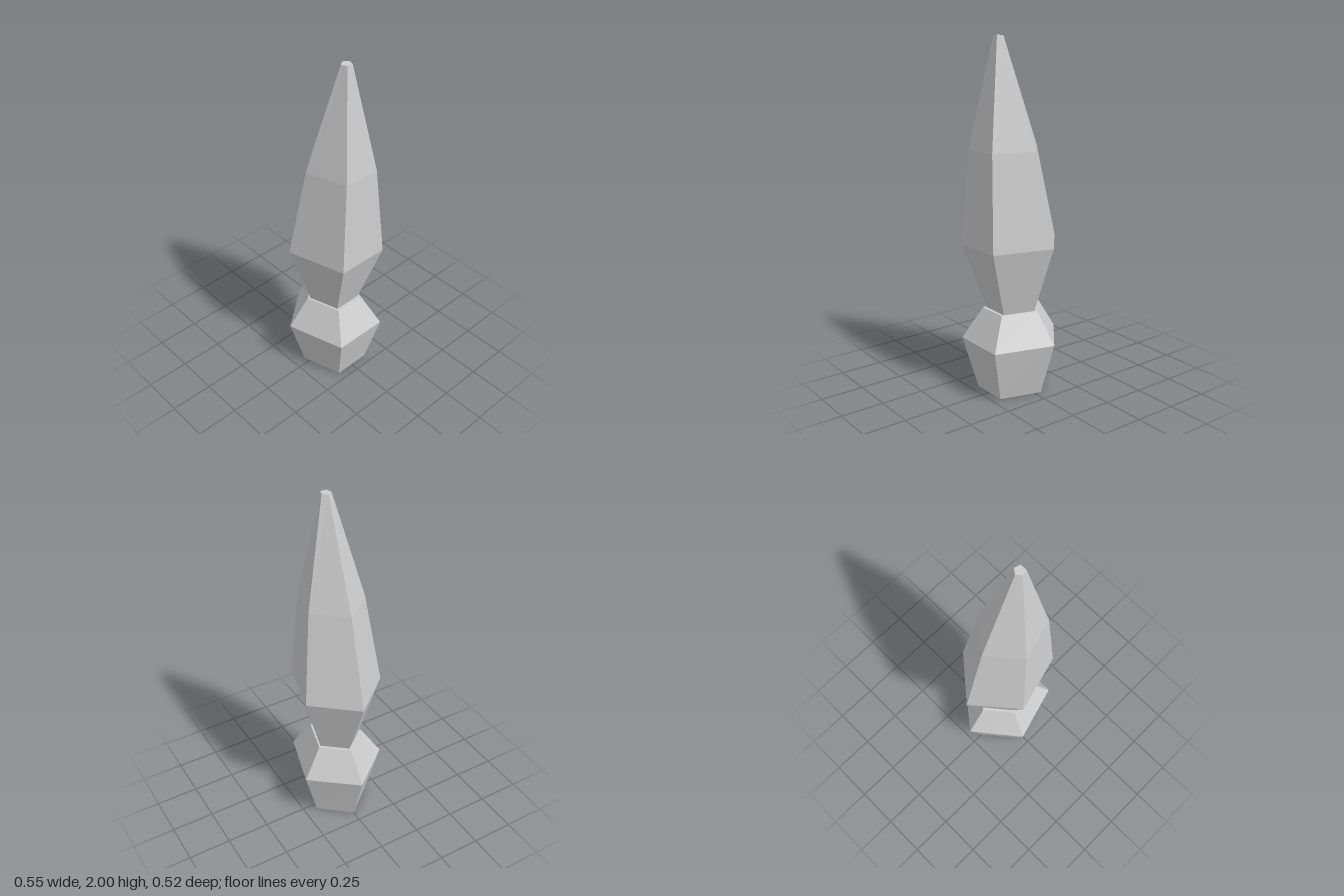
import * as THREE from 'three';

const SIDES = 5;

// Faceted loft through five-sided rings [y, centreX, radiusX, radiusZ], one corner towards -x, closed at both ends
function loft(name, rings) {
  const points = [];
  const index = [];
  for (const [y, cx, rx, rz] of rings) {
    for (let i = 0; i < SIDES; i++) {
      const a = Math.PI + (i / SIDES) * Math.PI * 2;
      points.push(cx + rx * Math.cos(a), y, -rz * Math.sin(a));
    }
  }
  const last = (rings.length - 1) * SIDES;
  for (let row = 0; row < last; row += SIDES) {
    for (let i = 0; i < SIDES; i++) {
      const a = row + i;
      const b = row + ((i + 1) % SIDES);
      index.push(a, b, b + SIDES, a, b + SIDES, a + SIDES);
    }
  }
  for (let i = 1; i < SIDES - 1; i++) {
    index.push(0, i + 1, i); // bottom cap
    index.push(last, last + i, last + i + 1); // top cap
  }
  const indexed = new THREE.BufferGeometry();
  indexed.setAttribute('position', new THREE.Float32BufferAttribute(points, 3));
  indexed.setIndex(index);
  const geometry = indexed.toNonIndexed();
  geometry.computeVertexNormals();
  const material = new THREE.MeshStandardMaterial({ color: 0xcccccc, flatShading: true });
  const mesh = new THREE.Mesh(geometry, material);
  mesh.name = name;
  return mesh;
}

export function createModel() {
  const model = new THREE.Group();
  model.name = 'facetedSpire';

  // Squat base, widest above its middle
  model.add(loft('base', [
    [0, 0.028, 0.213, 0.184],
    [0.305, 0.029, 0.302, 0.272],
    [0.485, 0.027, 0.182, 0.153],
  ]));

  // Tall tapering spire, leaning towards +x
  model.add(loft('spire', [
    [0.485, 0.028, 0.158, 0.14],
    [0.865, 0.029, 0.302, 0.257],
    [1.4, 0.074, 0.211, 0.184],
    [2, 0.12, 0.03, 0.03],
  ]));

  return model;
}
